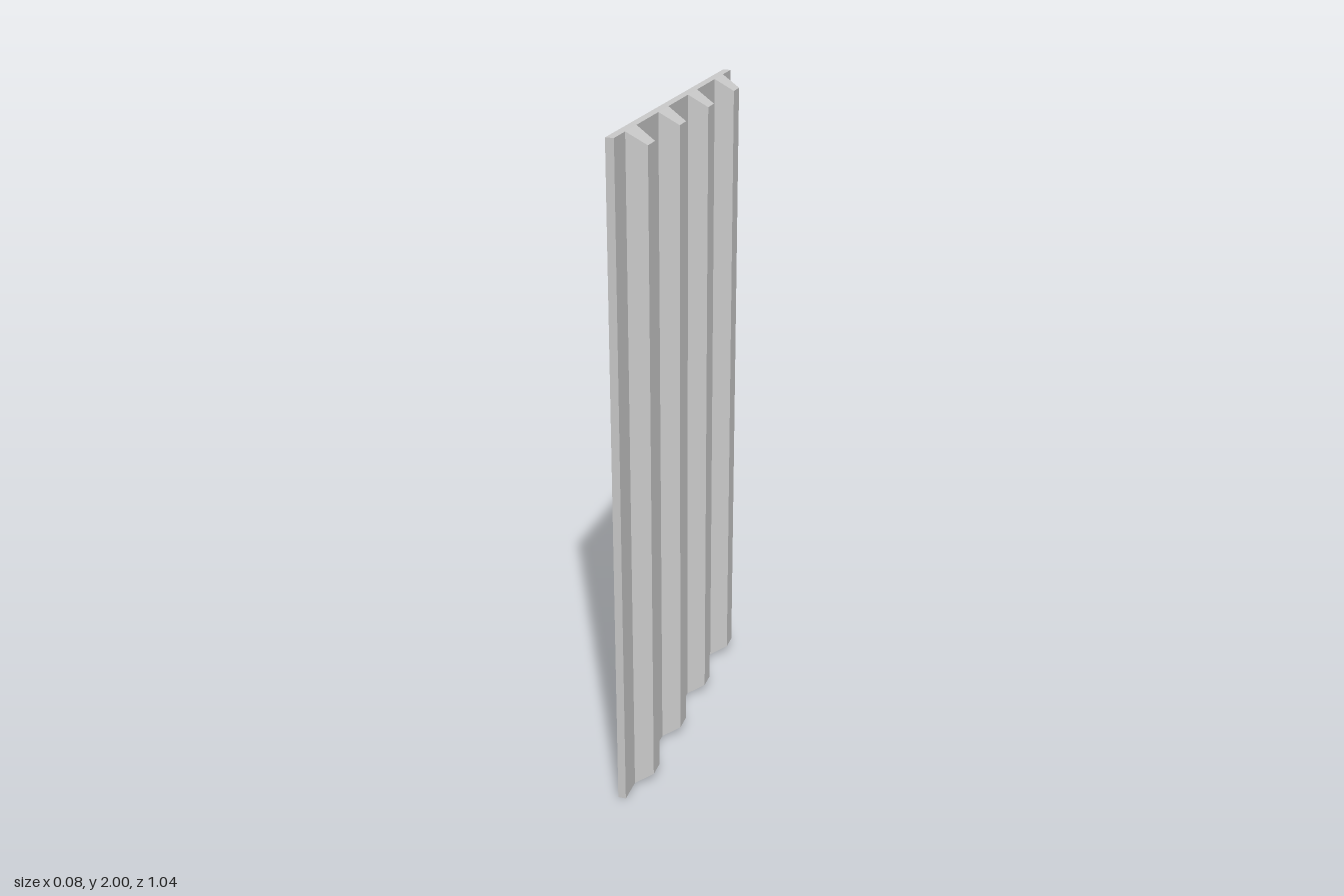
import * as THREE from 'three';

const material = new THREE.MeshStandardMaterial({ color: 0xcccccc, flatShading: true });

const HEIGHT = 2;
const BACK = -0.04, FACE = -0.016, CREST = 0.04; // x of panel back, panel face, rib crest

// Rib with a trapezoid section and bevelled ends: a box tapered towards its outer side
function ribGeometry() {
  const depth = CREST - FACE, width = 0.086, crestWidth = 0.056, endBevel = 0.035;
  const geometry = new THREE.BoxGeometry(depth, HEIGHT, width);
  const p = geometry.attributes.position;
  for (let i = 0; i < p.count; i++) {
    if (p.getX(i) > 0) {
      p.setY(i, Math.sign(p.getY(i)) * (HEIGHT / 2 - endBevel));
      p.setZ(i, Math.sign(p.getZ(i)) * crestWidth / 2);
    }
  }
  geometry.translate((FACE + CREST) / 2, HEIGHT / 2, 0);
  geometry.computeVertexNormals();
  return geometry;
}

export function createModel() {
  const model = new THREE.Group();
  model.name = 'ribbedPanel';

  // Flat backing sheet
  const sheet = new THREE.Mesh(new THREE.BoxGeometry(FACE - BACK, HEIGHT, 1.036), material);
  sheet.name = 'sheet';
  sheet.position.set((BACK + FACE) / 2, HEIGHT / 2, 0);
  model.add(sheet);

  // Four evenly spaced vertical ribs
  const geometry = ribGeometry();
  for (let i = 0; i < 4; i++) {
    const rib = new THREE.Mesh(geometry, material);
    rib.name = `rib${i + 1}`;
    rib.position.z = (i - 1.5) * 0.262;
    model.add(rib);
  }
  return model;
}
